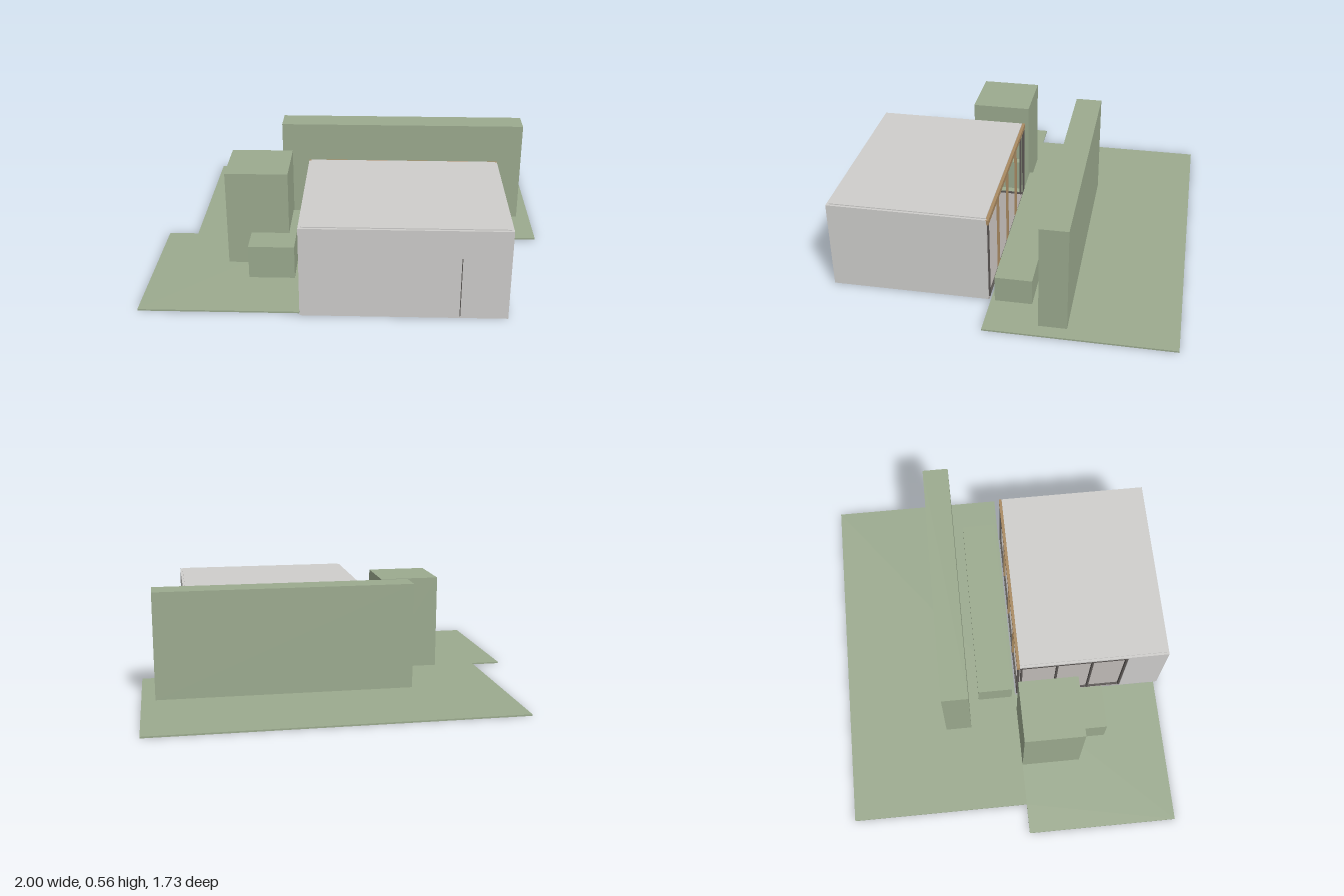
import * as THREE from 'three';

const material = (name, color) => {
  const m = new THREE.MeshStandardMaterial({ color });
  m.name = name;
  return m;
};

export function createModel() {
  const green = material('garden green', 0x9cab8f);
  const plaster = material('pale plaster', 0xcfcecc);
  const floorGrey = material('floor grey', 0xaaa5a2);
  const wood = material('wood', 0xa98a62);
  const dark = material('dark frame', 0x5a5653);

  const model = new THREE.Group();
  model.name = 'gardenHouse';

  // Box given by its extents on each axis
  const block = (parent, name, mat, [x0, x1], [y0, y1], [z0, z1]) => {
    const mesh = new THREE.Mesh(new THREE.BoxGeometry(x1 - x0, y1 - y0, z1 - z0), mat);
    mesh.position.set((x0 + x1) / 2, (y0 + y1) / 2, (z0 + z1) / 2);
    mesh.name = name;
    parent.add(mesh);
    return mesh;
  };

  // Lawn: one L-shaped thin slab around the house
  const outline = [
    [-0.845, -0.865], [1, -0.865], [1, 0.06], [-0.225, 0.06],
    [-0.225, 0.842], [-1, 0.842], [-1, 0.06], [-0.845, 0.06],
  ].map(([x, z]) => new THREE.Vector2(x, -z));
  const lawn = new THREE.Mesh(
    new THREE.ExtrudeGeometry(new THREE.Shape(outline), { depth: 0.008, bevelEnabled: false }), green);
  lawn.rotation.x = -Math.PI / 2;
  lawn.name = 'lawn';
  model.add(lawn);

  // Clipped hedges and planting blocks
  const planting = new THREE.Group();
  planting.name = 'planting';
  model.add(planting);
  block(planting, 'longHedge', green, [-0.39, 0.93], [0.004, 0.557], [-0.338, -0.2]);
  block(planting, 'lowHedge', green, [-0.235, 0.775], [0.004, 0.145], [-0.145, 0.04]);
  block(planting, 'tallBush', green, [-0.627, -0.31], [0.004, 0.51], [0.06, 0.37]);
  block(planting, 'lowBush', green, [-0.503, -0.272], [0.004, 0.182], [0.105, 0.525]);

  // House shell: floor, solid walls and a roof slab rising just above them
  const house = new THREE.Group();
  house.name = 'house';
  model.add(house);
  block(house, 'floor', floorGrey, [-0.22, 0.76], [0, 0.01], [0.07, 0.855]);
  block(house, 'frontWall', plaster, [-0.222, 0.764], [0.002, 0.463], [0.846, 0.862]);
  block(house, 'leftWall', plaster, [0.748, 0.764], [0.002, 0.463], [0.075, 0.846]);
  block(house, 'rightWall', plaster, [-0.222, -0.206], [0.002, 0.463], [0.65, 0.846]);
  block(house, 'roof', plaster, [-0.21, 0.752], [0.45, 0.468], [0.08, 0.85]);
  block(house, 'doorJoint', dark, [0.534, 0.538], [0.01, 0.32], [0.861, 0.863]);

  // Rear opening: timber head beam, sill and slim posts in four bays
  block(house, 'rearBeam', wood, [-0.222, 0.764], [0.437, 0.463], [0.065, 0.08]);
  block(house, 'rearSill', dark, [-0.21, 0.75], [0.01, 0.018], [0.068, 0.078]);
  for (let i = 0; i <= 4; i++) {
    const x = -0.212 + i * 0.239;
    block(house, 'rearPost', i % 4 ? wood : dark, [x - 0.005, x + 0.005], [0.01, 0.437], [0.067, 0.079]);
  }

  // Side opening: edge strip, dark head beam, sill and posts
  block(house, 'sideRoofEdge', plaster, [-0.222, -0.206], [0.45, 0.463], [0.08, 0.65]);
  block(house, 'sideBeam', dark, [-0.219, -0.208], [0.425, 0.45], [0.08, 0.65]);
  block(house, 'sideSill', dark, [-0.218, -0.208], [0.01, 0.018], [0.08, 0.65]);
  for (const z of [0.09, 0.278, 0.465, 0.644]) {
    block(house, 'sidePost', dark, [-0.22, -0.206], [0.01, 0.43], [z - 0.005, z + 0.005]);
  }

  return model;
}
